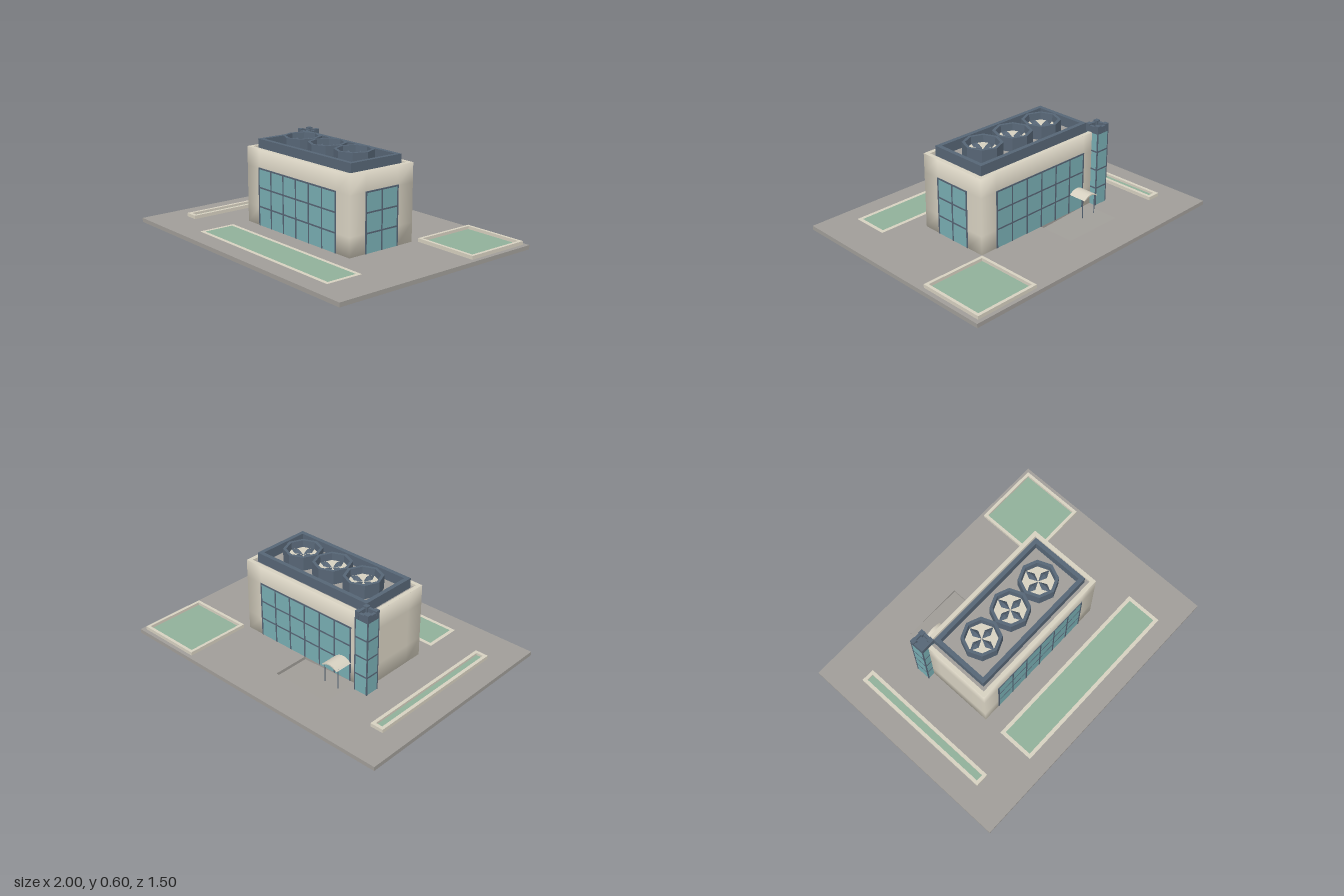
import * as THREE from 'three';
import { mergeVertices } from 'three/addons/utils/BufferGeometryUtils.js';

const mat = (color) => new THREE.MeshStandardMaterial({ color, side: THREE.DoubleSide });
const CREAM = mat(0xd6d0c0), STONE = mat(0xa09d98), BLUE = mat(0x566575);
const GLASS = mat(0x78adb2), GREEN = mat(0x90b099);
const ROUND = mat(0xd6d0c0), FACET = mat(0x566575);
FACET.flatShading = true;

const G = 0.027; // ground level

function add(parent, name, geometry, material, x = 0, y = 0, z = 0) {
  const m = new THREE.Mesh(geometry, material);
  m.name = name;
  m.position.set(x, y, z);
  parent.add(m);
  return m;
}

// Box given by its limits
function box(parent, name, material, x0, x1, y0, y1, z0, z1) {
  return add(parent, name, new THREE.BoxGeometry(x1 - x0, y1 - y0, z1 - z0), material,
    (x0 + x1) / 2, (y0 + y1) / 2, (z0 + z1) / 2);
}

function rect(T, x0, x1, z0, z1) {
  return new T([[x0, -z0], [x1, -z0], [x1, -z1], [x0, -z1]].map((p) => new THREE.Vector2(...p)));
}

// Flat plate with a rectangular opening, lying in the ground plane
function plateWithHole(parent, name, material, outer, inner, y0, y1) {
  const shape = rect(THREE.Shape, ...outer);
  shape.holes.push(rect(THREE.Path, ...inner));
  const g = new THREE.ExtrudeGeometry(shape, { depth: y1 - y0, bevelEnabled: false });
  return add(parent, name, g.rotateX(-Math.PI / 2), material, 0, y0, 0);
}

function frame(parent, name, material, x0, x1, z0, z1, y0, y1, t) {
  return plateWithHole(parent, name, material, [x0, x1, z0, z1],
    [x0 + t, x1 - t, z0 + t, z1 - t], y0, y1);
}

// Planting bed: pale kerb around a green floor
function bed(parent, name, x0, x1, z0, z1, top, floor, t) {
  const g = new THREE.Group();
  g.name = name;
  frame(g, 'kerb', CREAM, x0, x1, z0, z1, G - 0.01, top, t);
  box(g, 'grass', GREEN, x0 + t, x1 - t, G - 0.01, floor, z0 + t, z1 - t);
  parent.add(g);
}

// Gridded window facing +z with its sill at ground level
function windowGrid(name, w, h, cols, rows) {
  const g = new THREE.Group(), b = 0.005;
  g.name = name;
  box(g, 'glass', GLASS, -w / 2, w / 2, 0, h, -0.01, 0.002);
  for (let i = 0; i <= cols; i++) {
    const x = -w / 2 + (w * i) / cols;
    box(g, 'mullion', BLUE, x - b, x + b, 0, h + b, -0.01, 0.004);
  }
  for (let j = 1; j <= rows; j++) {
    const y = (h * j) / rows;
    box(g, 'transom', BLUE, -w / 2, w / 2, y - b, y + b, -0.01, 0.0035);
  }
  return g;
}

// Softly shaded box walls without the top
function softWalls(w, h, d) {
  let g = new THREE.BoxGeometry(w, h, d, 8, 4, 4);
  const top = g.groups[2];
  g.deleteAttribute('normal');
  g.deleteAttribute('uv');
  g = mergeVertices(g);
  g.computeVertexNormals();
  g.setIndex([...g.index.array].filter((_, i) => i < top.start || i >= top.start + top.count));
  g.clearGroups();
  return g;
}

function makeFan(x) {
  const fan = new THREE.Group();
  fan.name = 'roofFan';
  fan.position.set(x, 0, 0);
  const profile = [[0.125, 0.505], [0.125, 0.6], [0.105, 0.6], [0.1, 0.55]]
    .map((p) => new THREE.Vector2(...p));
  add(fan, 'fanHousing', new THREE.LatheGeometry(profile, 8), FACET);
  add(fan, 'fanFloor', new THREE.CylinderGeometry(0.104, 0.104, 0.01, 8), CREAM, 0, 0.55, 0);
  // Four ridged diamond blades
  for (let i = 0; i < 4; i++) {
    const blade = new THREE.ConeGeometry(1, 1, 4).scale(0.024, 0.025, 0.05).translate(0, 0, 0.052);
    add(fan, 'fanBlade', blade.rotateY((i * Math.PI) / 2), FACET, 0, 0.5675, 0);
  }
  return fan;
}

export function createModel() {
  const model = new THREE.Group();
  model.name = 'building';

  // Ground slab with a shallow sunken ramp behind the building
  plateWithHole(model, 'groundSlab', STONE, [-1, 1, -0.75, 0.75], [-0.415, 0, -0.5, -0.25], 0.003, G);
  box(model, 'slabBase', STONE, -1, 1, 0, 0.004, -0.75, 0.75);
  const ramp = new THREE.PlaneGeometry(0.415, 0.25).rotateX(-Math.PI / 2);
  const rp = ramp.attributes.position;
  for (let i = 0; i < rp.count; i++) rp.setY(i, rp.getX(i) > 0 ? 0.006 : G);
  ramp.computeVertexNormals();
  add(model, 'ramp', ramp, STONE, -0.2075, 0, -0.375);

  // Planting beds
  bed(model, 'squareBed', 0.525, 0.97, -0.725, -0.28, 0.05, 0.03, 0.02);
  bed(model, 'narrowBed', -0.845, -0.755, -0.5, 0.5, 0.05, 0.035, 0.022);
  bed(model, 'frontBed', -0.5, 0.75, 0.375, 0.625, G + 0.001, G + 0.001, 0.024);

  // Main block with recessed roof
  const h = 0.525 - G;
  add(model, 'walls', softWalls(1, h, 0.5), ROUND, 0, G + h / 2, 0);
  frame(model, 'roofRim', CREAM, -0.5, 0.5, -0.25, 0.25, 0.5249, 0.525, 0.027);
  frame(model, 'parapetInside', CREAM, -0.499, 0.499, -0.249, 0.249, 0.505, 0.5248, 0.026);
  box(model, 'roof', STONE, -0.475, 0.475, 0.5, 0.51, -0.225, 0.225);
  frame(model, 'roofScreen', BLUE, -0.45, 0.45, -0.2, 0.2, 0.505, 0.575, 0.028);
  for (const x of [-0.25, 0, 0.25]) model.add(makeFan(x));

  // Windows
  const front = windowGrid('frontWindow', 0.75, 0.375, 6, 3);
  front.position.set(0, G, 0.25);
  const back = windowGrid('backWindow', 0.75, 0.375, 6, 3);
  back.position.set(0, G, -0.25);
  back.rotation.y = Math.PI;
  const side = windowGrid('sideWindow', 0.25, 0.375, 2, 3);
  side.position.set(0.5, G, 0);
  side.rotation.y = Math.PI / 2;
  model.add(front, back, side);

  // Glazed corner tower
  const tower = new THREE.Group();
  tower.name = 'cornerTower';
  tower.position.set(-0.5, 0, -0.25);
  model.add(tower);
  box(tower, 'towerGlass', GLASS, -0.048, 0.048, G, 0.53, -0.048, 0.048);
  for (const y of [0.15, 0.277, 0.402]) {
    box(tower, 'towerBand', BLUE, -0.0495, 0.0495, y - 0.005, y + 0.005, -0.0495, 0.0495);
  }
  frame(tower, 'towerCap', BLUE, -0.049, 0.049, -0.049, 0.049, 0.522, 0.566, 0.018);
  box(tower, 'towerRoof', BLUE, -0.035, 0.035, 0.525, 0.54, -0.035, 0.035);
  for (const sx of [-1, 1]) for (const sz of [-1, 1]) {
    add(tower, 'towerPost', new THREE.BoxGeometry(0.007, 0.525 - G, 0.007), BLUE,
      sx * 0.0465, (0.525 + G) / 2, sz * 0.0465);
    add(tower, 'towerCorner', new THREE.BoxGeometry(0.03, 0.05, 0.03), BLUE,
      sx * 0.035, 0.55, sz * 0.035);
  }

  // Arched porch canopy on two thin posts
  const arch = new THREE.Shape();
  arch.moveTo(-0.062, 0.155);
  arch.quadraticCurveTo(0, 0.208, 0.062, 0.155);
  arch.lineTo(0.052, 0.155);
  arch.quadraticCurveTo(0, 0.191, -0.052, 0.155);
  add(model, 'canopy', new THREE.ExtrudeGeometry(arch, { depth: 0.126, bevelEnabled: false }), CREAM,
    -0.32, 0, -0.375);
  for (const x of [-0.374, -0.266]) {
    add(model, 'canopyPost', new THREE.CylinderGeometry(0.003, 0.003, 0.135, 6), BLUE, x, 0.0925, -0.355);
  }
  return model;
}
